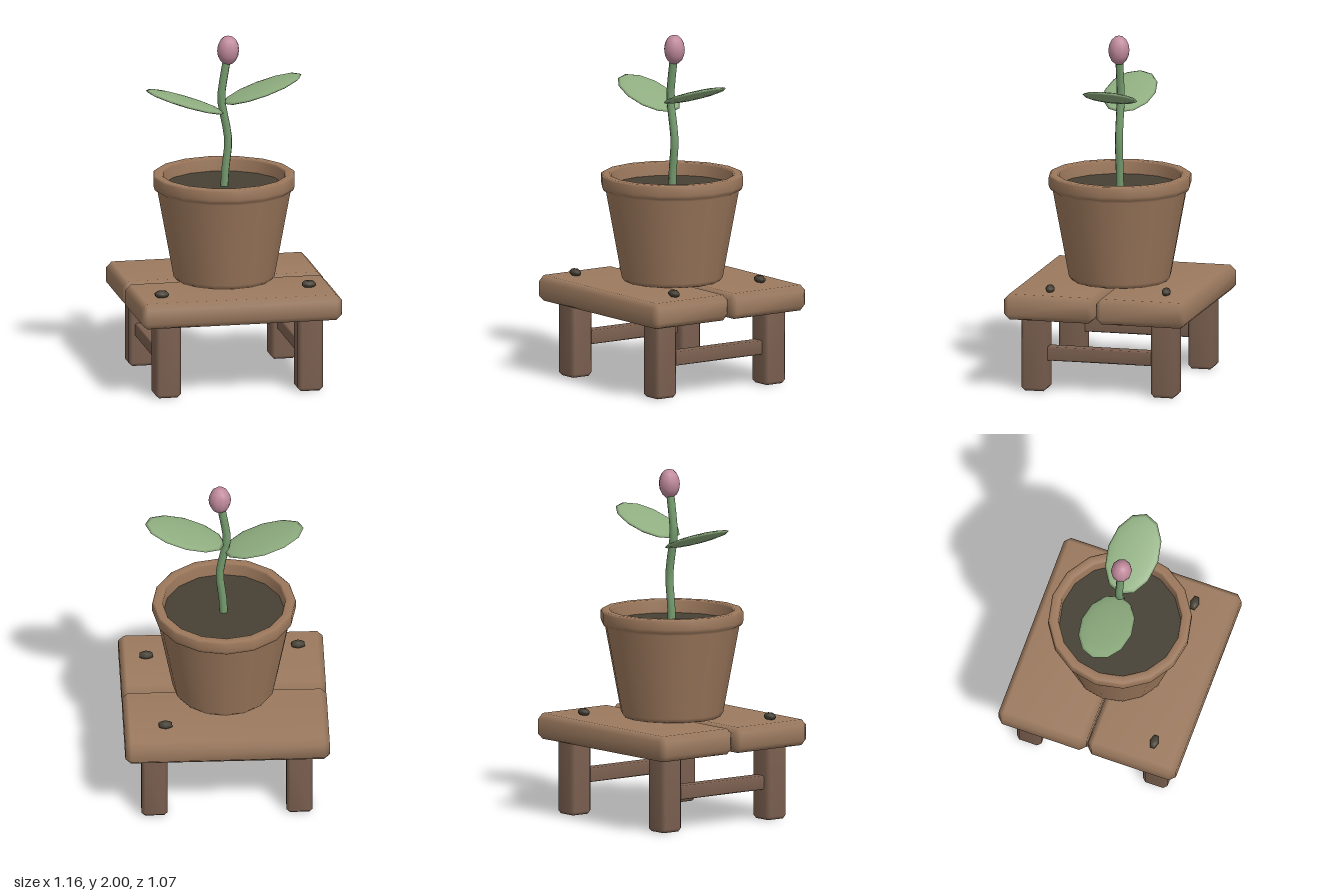
import * as THREE from 'three';
import { mergeVertices } from 'three/addons/utils/BufferGeometryUtils.js';
import { ConvexGeometry } from 'three/addons/geometries/ConvexGeometry.js';

const mat = (name, color) => {
  const m = new THREE.MeshStandardMaterial({ color });
  m.name = name;
  return m;
};

// Box with single-facet chamfered edges and softened normals
function chamferBox(w, h, d, c) {
  const pts = [];
  for (const x of [-w / 2, w / 2]) for (const y of [-h / 2, h / 2]) for (const z of [-d / 2, d / 2]) {
    const [ix, iy, iz] = [x, y, z].map((v) => v - Math.sign(v) * c);
    pts.push(new THREE.Vector3(x, iy, iz), new THREE.Vector3(ix, y, iz), new THREE.Vector3(ix, iy, z));
  }
  let geo = new ConvexGeometry(pts);
  geo.deleteAttribute('normal');
  geo = mergeVertices(geo, 1e-4);
  geo.computeVertexNormals();
  return geo;
}

const lathe = (profile, sides) =>
  new THREE.LatheGeometry(profile.map(([r, y]) => new THREE.Vector2(r, y)), sides);

export function createModel() {
  const model = new THREE.Group();
  model.name = 'pottedPlantOnStool';

  const wood = mat('wood', 0x9c7a5f);
  const darkWood = mat('darkWood', 0x7a5f4f);
  const clay = mat('clay', 0x9c785c);
  const soilMat = mat('soil', 0x464034);
  const leafGreen = mat('leafGreen', 0x8fae80);
  const stemGreen = mat('stemGreen', 0x759c6e);
  const pink = mat('pink', 0xc08a9c);

  const add = (name, geo, material, x = 0, y = 0, z = 0) => {
    const mesh = new THREE.Mesh(geo, material);
    mesh.name = name;
    mesh.position.set(x, y, z);
    model.add(mesh);
    return mesh;
  };

  // Stool: two seat boards, four legs, two side stretchers
  const board = chamferBox(1.164, 0.148, 0.53, 0.032);
  const leg = chamferBox(0.148, 0.435, 0.148, 0.02);
  const stretcher = chamferBox(0.08, 0.08, 0.66, 0.008);
  for (const s of [-1, 1]) {
    add(s > 0 ? 'frontBoard' : 'backBoard', board, wood, 0, 0.504, s * 0.271);
    add(s > 0 ? 'leftStretcher' : 'rightStretcher', stretcher, darkWood, s * 0.413, 0.22, 0);
    for (const f of [-1, 1]) {
      add(`${f > 0 ? 'front' : 'back'}${s > 0 ? 'Left' : 'Right'}Leg`, leg, darkWood,
        s * 0.413, 0.2215, f * 0.381);
    }
  }

  // Pot: closed base, tapered wall, thick rim and inner wall
  add('pot', lathe([
    [0, 0.58], [0.275, 0.58], [0.293, 0.605], [0.385, 1.1], [0.402, 1.115],
    [0.409, 1.135], [0.409, 1.185], [0.398, 1.195], [0.36, 1.195], [0.35, 1.185], [0.343, 1.08],
  ], 16), clay);
  add('soil', lathe([[0.347, 1.12], [0, 1.12]], 16), soilMat);

  // Stem with a gentle S bend
  const stemPath = new THREE.CatmullRomCurve3([
    [0, 1.08], [0.008, 1.22], [0.024, 1.39], [-0.016, 1.63], [-0.01, 1.7], [0.018, 1.87],
  ].map(([x, y]) => new THREE.Vector3(x, y, 0)));
  add('stem', new THREE.TubeGeometry(stemPath, 12, 0.023, 8, false), stemGreen);

  // Leaves: flattened ellipsoids tilted up and outward
  const leafGeo = new THREE.SphereGeometry(1, 12, 8).scale(0.24, 0.02, 0.15);
  add('leftLeaf', leafGeo, leafGreen, 0.222, 1.678, 0).rotation.z = 0.32;
  add('rightLeaf', leafGeo, leafGreen, -0.226, 1.625, 0).rotation.z = -0.32;

  // Flower bud
  add('flowerBud', new THREE.SphereGeometry(1, 10, 8).scale(0.064, 0.085, 0.06), pink, 0.024, 1.915, 0);

  // Small pebbles on the seat
  const pebble = lathe([[0, -0.02], [0.6, -0.02], [1, -0.006], [1, 0.006], [0.6, 0.02], [0, 0.02]], 6)
    .scale(0.044, 1, 0.026);
  for (const [x, z] of [[0.348, -0.365], [0.432, 0.296], [-0.436, 0.364]]) {
    add('pebble', pebble, soilMat, x, 0.595, z);
  }

  return model;
}
